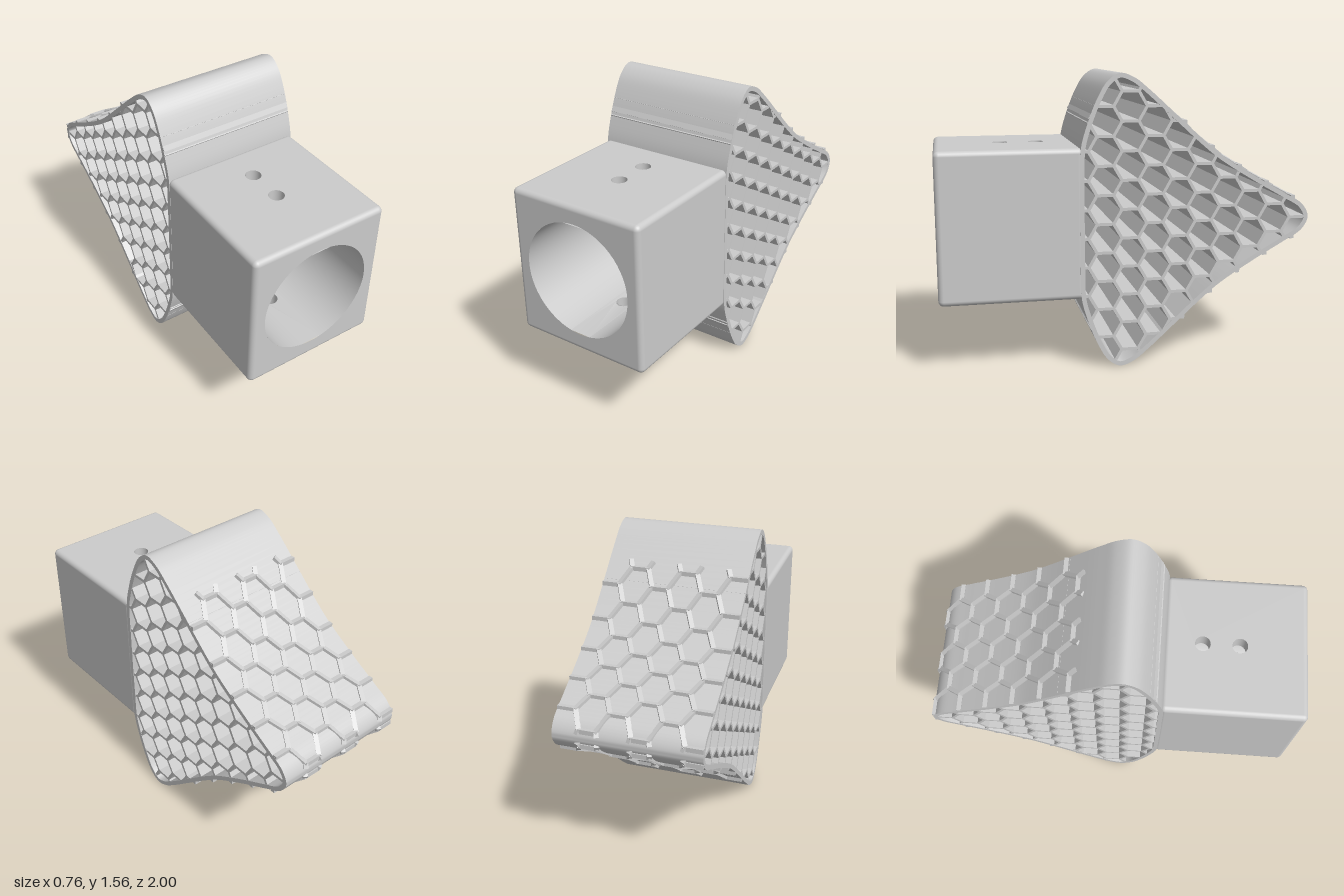
import * as THREE from 'three';
import { mergeGeometries, toCreasedNormals } from 'three/addons/utils/BufferGeometryUtils.js';
import { RoundedBoxGeometry } from 'three/addons/geometries/RoundedBoxGeometry.js';

const W = 0.38, CY = 0.785;                 // half width, middle height
const CELL = 0.153;                         // honeycomb cell, flat to flat
const grey = new THREE.MeshStandardMaterial({ color: 0xcccccc });
const greyBoth = new THREE.MeshStandardMaterial({ color: 0xcccccc, side: THREE.DoubleSide });

function add(parent, name, geometry, material = grey) {
  const mesh = new THREE.Mesh(geometry, material);
  mesh.name = name;
  parent.add(mesh);
  return mesh;
}

// Upper half of the shell profile as (z, height above the middle), front to tip
const half = [[0.265, 0.2], [0.26, 0.395], [0.23, 0.51], [0.175, 0.65], [0.12, 0.74], [0.055, 0.78], [-0.02, 0.757],
  [-0.1, 0.695], [-0.25, 0.56], [-0.4, 0.425], [-0.5, 0.345], [-0.7, 0.22], [-0.85, 0.135], [-0.955, 0.07]];
const loop = [...half, [-0.99, 0], ...half.slice().reverse().map(([z, y]) => [z, -y])];
const outline = new THREE.CatmullRomCurve3(loop.map(([z, y]) => new THREE.Vector3(z, y, 0)), true, 'centripetal')
  .getPoints(160).slice(0, -1).map(p => new THREE.Vector2(p.x, p.y));

// Half height of the shell at a given z
function heightAt(z) {
  let h = 0;
  outline.forEach((a, i) => {
    const b = outline[(i + 1) % outline.length];
    if ((a.x - z) * (b.x - z) <= 0 && a.x !== b.x) {
      h = Math.max(h, a.y + (b.y - a.y) * (z - a.x) / (b.x - a.x));
    }
  });
  return h;
}

// Outline moved inwards along its normals
function inset(points, d) {
  const n = points.length;
  return points.map((p, i) => {
    const t = points[(i + 1) % n].clone().sub(points[(i + n - 1) % n]).normalize();
    return new THREE.Vector2(p.x - t.y * d, p.y + t.x * d);
  });
}

// Edges of a hexagon lattice (flat sides along u), trimmed to a region
function honeycomb(u0, u1, v0, v1, inside) {
  const step = CELL * Math.sqrt(3) / 2, R = CELL / Math.sqrt(3), edges = [];
  const corner = (u, v, k) => new THREE.Vector2(u + R * Math.cos(k * Math.PI / 3), v + R * Math.sin(k * Math.PI / 3));
  for (let i = 0; u0 + i * step <= u1; i++) {
    for (let v = v0 + (i % 2) * CELL / 2; v <= v1; v += CELL) {
      for (let k = 0; k < 3; k++) {
        const a = corner(u0 + i * step, v, k), b = corner(u0 + i * step, v, k + 1);
        const hits = [];
        for (let s = 0; s <= 20; s++) {
          const p = a.clone().lerp(b, s / 20);
          if (inside(p.x, p.y)) hits.push(p);
        }
        if (hits.length > 2) edges.push([hits[0], hits[hits.length - 1]]);
      }
    }
  }
  return edges;
}

// Bar of a given section laid between two points
function bar(a, b, width, height, extra) {
  const g = new THREE.BoxGeometry(width, height, a.distanceTo(b) + extra);
  const o = new THREE.Object3D();
  o.position.copy(a).lerp(b, 0.5);
  o.lookAt(b);
  o.updateMatrix();
  return g.applyMatrix4(o.matrix);
}

function buildShell(group) {
  const shape = new THREE.Shape(outline);
  shape.holes.push(new THREE.Path(inset(outline, 0.024)));
  const g = new THREE.ExtrudeGeometry(shape, { depth: 2 * W, bevelEnabled: false });
  g.rotateY(-Math.PI / 2).translate(W, 0, 0);
  add(group, 'curvedShell', toCreasedNormals(g, 0.6));

  // Honeycomb core running the full width
  const cells = honeycomb(-1.06, 0.4, -0.918, 0.95,
    (z, y) => z > -0.975 && z < 0.25 && Math.abs(y) < heightAt(z) - 0.01);
  const walls = cells.map(([a, b]) => {
    const d = b.clone().sub(a), m = a.clone().lerp(b, 0.5);
    return new THREE.BoxGeometry(2 * W - 0.004, 0.016, d.length() + 0.008)
      .rotateX(-Math.atan2(d.y, d.x)).translate(0, m.y, m.x);
  });
  add(group, 'honeycombCore', mergeGeometries(walls));

  // Raised hexagon ribs on the two sloping back faces
  const ribs = honeycomb(-0.464, 0.5, -1.13, 0,
    (x, z) => Math.abs(x) < W - 0.004 && z > -0.985 && z < -0.18);
  for (const side of [1, -1]) {
    const on = p => new THREE.Vector3(p.x, side * heightAt(p.y), p.y);
    const bars = ribs.map(([a, b]) => bar(on(a), on(b), 0.024, 0.024, 0.008));
    add(group, side > 0 ? 'upperRibs' : 'lowerRibs', mergeGeometries(bars));
  }
}

function buildSocket(group) {
  const H = 0.4, back = 0.245, front = 1, r = 0.028, bore = 0.307, floor = 0.27;
  const pins = [0.45, 0.645], pinR = 0.041;
  const mid = (front + back) / 2, D = front - back;

  // Rounded block, leaving open the flat faces that carry holes
  const box = new RoundedBoxGeometry(2 * W, 2 * H, D, 3, r);
  const p = box.attributes.position, n = box.attributes.normal, pos = [], nor = [];
  for (let i = 0; i < p.count; i += 3) {
    const all = test => [i, i + 1, i + 2].every(test);
    const open = all(k => p.getY(k) > H - 1e-4) || all(k => p.getY(k) < -H + 1e-4) || all(k => p.getZ(k) > D / 2 - 1e-4);
    if (open) continue;
    for (let k = i; k < i + 3; k++) {
      pos.push(p.getX(k), p.getY(k), p.getZ(k) + mid);
      nor.push(n.getX(k), n.getY(k), n.getZ(k));
    }
  }
  const body = new THREE.BufferGeometry();
  body.setAttribute('position', new THREE.Float32BufferAttribute(pos, 3));
  body.setAttribute('normal', new THREE.Float32BufferAttribute(nor, 3));
  add(group, 'socketBody', body);

  const plate = (x, y0, y1, holes) => {
    const s = new THREE.Shape([[-x, y0], [x, y0], [x, y1], [-x, y1]].map(c => new THREE.Vector2(...c)));
    for (const [cy, rad] of holes) s.holes.push(new THREE.Path().absarc(0, cy, rad, 0, Math.PI * 2, true));
    return new THREE.ShapeGeometry(s, 32);
  };
  add(group, 'socketFront', plate(W - r, r - H, H - r, [[0, bore]]).translate(0, 0, front));

  // Round bore, with a bent strip above and below for the pin holes
  const stripX = 0.06, a = Math.asin(stripX / bore), depth = front - floor;
  for (const start of [a, Math.PI + a]) {
    const g = new THREE.CylinderGeometry(bore, bore, depth, 40, 1, true, start, Math.PI - 2 * a);
    add(group, 'boreWall', g.rotateX(Math.PI / 2).translate(0, 0, (front + floor) / 2), greyBoth);
  }
  add(group, 'boreFloor', new THREE.CircleGeometry(bore, 64).translate(0, 0, floor));

  const holes = pins.map(z => [-z, pinR]);
  for (const side of [1, -1]) {
    const face = plate(W - r, -(front - r), -(back + r), holes).rotateX(-Math.PI / 2).translate(0, H, 0);
    const strip = plate(stripX, -front, -floor, holes).rotateX(-Math.PI / 2);
    const q = strip.attributes.position;
    for (let i = 0; i < q.count; i++) q.setY(i, Math.sqrt(bore * bore - q.getX(i) ** 2));
    strip.computeVertexNormals();
    const pinWalls = mergeGeometries(pins.map(z =>
      new THREE.CylinderGeometry(pinR, pinR, H - bore + 0.003, 32, 1, true).translate(0, (H + bore - 0.003) / 2, z)));
    const parts = new THREE.Group();
    parts.name = side > 0 ? 'pinHolesTop' : 'pinHolesBottom';
    if (side < 0) parts.rotation.z = Math.PI;
    add(parts, 'socketFace', face);
    add(parts, 'boreStrip', strip, greyBoth);
    add(parts, 'pinHoleWalls', pinWalls, greyBoth);
    group.add(parts);
  }
}

export function createModel() {
  const model = new THREE.Group();
  model.name = 'honeycombHolder';
  for (const [name, build] of [['shell', buildShell], ['socket', buildSocket]]) {
    const part = new THREE.Group();
    part.name = name;
    part.position.y = CY;
    build(part);
    model.add(part);
  }
  return model;
}
